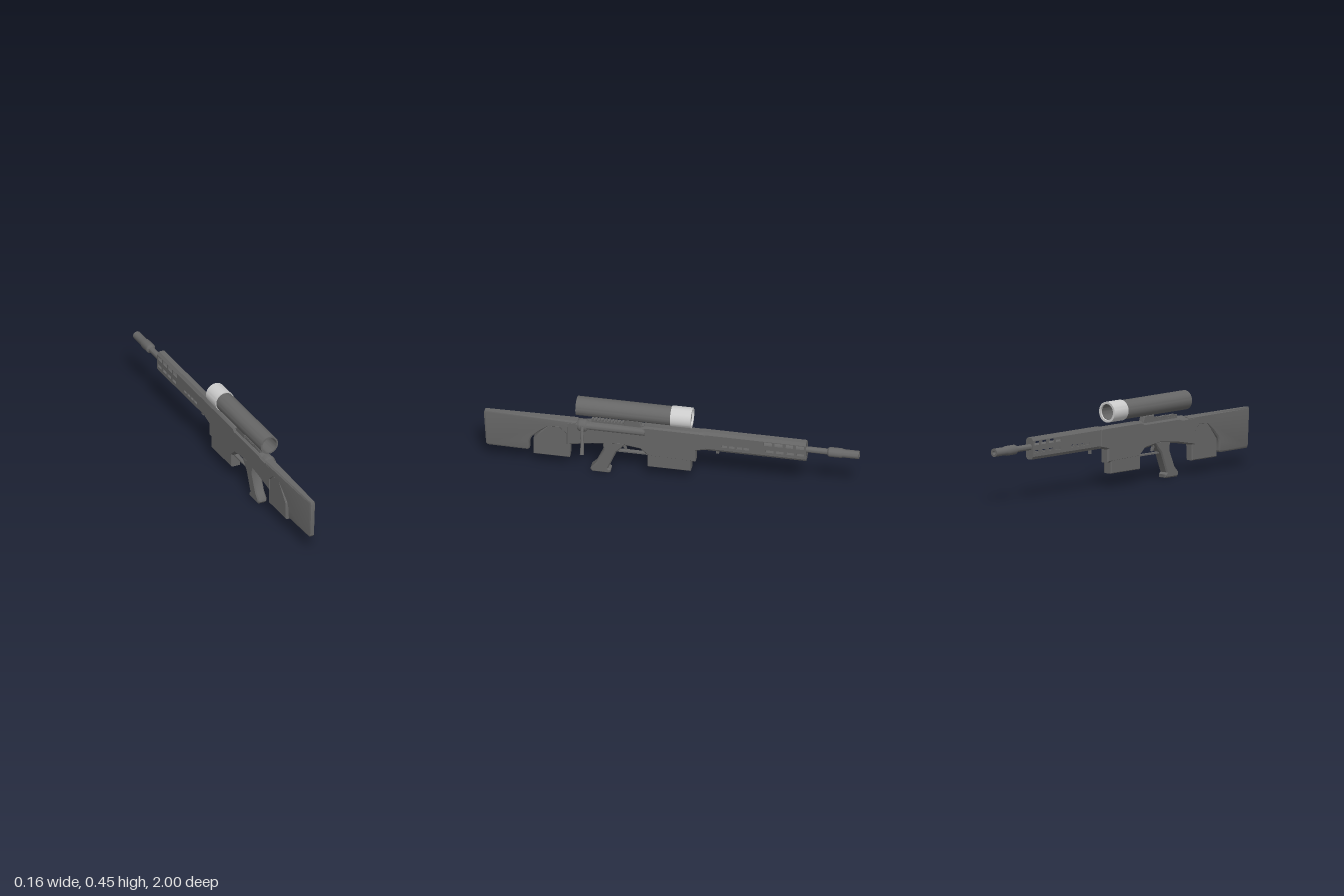
import * as THREE from 'three';
import { toCreasedNormals } from 'three/addons/utils/BufferGeometryUtils.js';

const CX = -0.022; // centre plane of the rifle
const dark = new THREE.MeshStandardMaterial({ color: 0x666666 });
const light = new THREE.MeshStandardMaterial({ color: 0xcccccc });

export function createModel() {
  const root = new THREE.Group();

  const add = (name, geo, mat = dark) => {
    const m = new THREE.Mesh(toCreasedNormals(geo, 0.6), mat);
    m.name = name;
    root.add(m);
    return m;
  };
  const poly = (pts) => new THREE.Shape(pts.map(([a, b]) => new THREE.Vector2(a, b)));

  // Side outline in (z, y), extruded across x with chamfered edges
  const slab = (name, pts, width, bevel = 0.006, x = CX, holes = []) => {
    const shape = poly(pts);
    shape.holes = holes.map(poly);
    const geo = new THREE.ExtrudeGeometry(shape, {
      depth: width - 2 * bevel, bevelEnabled: bevel > 0, bevelThickness: bevel,
      bevelSize: bevel, bevelOffset: -bevel, bevelSegments: 1, steps: 1,
    });
    geo.translate(0, 0, bevel - width / 2).rotateY(-Math.PI / 2).translate(x, 0, 0);
    return add(name, geo);
  };
  // Cross-section in (x, y) run along z
  const beam = (name, pts, z0, z1) => {
    const geo = new THREE.ExtrudeGeometry(poly(pts), { depth: z1 - z0, bevelEnabled: false });
    return add(name, geo.translate(CX, 0, z0));
  };
  // Turned part along z from [radius, z] points in order of rising z outside
  const turned = (name, pts, y, x = CX, mat = dark, seg = 32) => {
    const geo = new THREE.LatheGeometry(pts.map(([r, z]) => new THREE.Vector2(r, z)), seg);
    return add(name, geo.rotateX(Math.PI / 2).translate(x, y, 0), mat);
  };
  const pipe = (name, ri, ro, z0, z1, y, x, mat, seg) =>
    turned(name, [[ri, z0], [ro, z0], [ro, z1], [ri, z1], [ri, z0]], y, x, mat, seg);
  const box = (name, w, h, d, x, y, z) =>
    add(name, new THREE.BoxGeometry(w, h, d).translate(x, y, z));

  // Stock with curved hook, narrowing towards the butt
  const stock = slab('stock', [
    [0.5, 0.305], [0.995, 0.305], [1, 0.29], [0.988, 0.1], [0.98, 0.09], [0.765, 0.09],
    [0.755, 0.1], [0.755, 0.145], [0.742, 0.175], [0.7, 0.215], [0.655, 0.25],
    [0.6, 0.255], [0.54, 0.2], [0.5, 0.2],
  ], 0.055, 0.008);
  const p = stock.geometry.attributes.position;
  for (let i = 0; i < p.count; i++) {
    const t = Math.max(0, (p.getZ(i) - 0.5) / 0.5);
    p.setX(i, CX + (p.getX(i) - CX) * (1 - 0.45 * t));
  }
  stock.geometry = toCreasedNormals(stock.geometry, 0.6);
  slab('stockBlock', [
    [0.735, 0.07], [0.735, 0.165], [0.7, 0.21], [0.655, 0.262], [0.53, 0.262], [0.54, 0.07],
  ], 0.045, 0.005);

  // Receiver
  slab('receiver', [
    [0.56, 0.3], [0.46, 0.3], [0.43, 0.308], [0.16, 0.308], [0.14, 0.32], [-0.17, 0.32],
    [-0.19, 0.31], [-0.19, 0.215], [-0.13, 0.2], [-0.13, 0.13], [-0.105, 0.13],
    [0.12, 0.135], [0.165, 0.175], [0.24, 0.185], [0.28, 0.19], [0.42, 0.175], [0.56, 0.15],
  ], 0.055, 0.009);
  slab('magazine', [[0.125, 0.07], [0.125, 0.17], [-0.105, 0.17], [-0.105, 0.07]], 0.053, 0.004);

  // Grip, trigger and guard
  slab('grip', [
    [0.365, 0.2], [0.24, 0.2], [0.265, 0.165], [0.29, 0.14], [0.335, 0.03], [0.322, 0.02],
    [0.324, 0.004], [0.335, 0], [0.42, 0], [0.43, 0.012], [0.428, 0.025], [0.4, 0.055], [0.36, 0.145],
  ], 0.053, 0.007);
  box('guardBottom', 0.022, 0.008, 0.18, CX, 0.138, 0.2);
  slab('trigger', [
    [0.27, 0.2], [0.235, 0.2], [0.245, 0.172], [0.238, 0.15], [0.248, 0.15], [0.26, 0.17],
  ], 0.012, 0);

  // Bolt and handle on the left side
  pipe('bolt', 0.001, 0.021, 0.14, 0.46, 0.283, -0.006, dark, 20);
  turned('boltCollar', [
    [0, 0.445], [0.026, 0.445], [0.034, 0.455], [0.034, 0.488], [0.026, 0.5], [0, 0.5],
  ], 0.279, -0.014, dark, 24);
  const path = [[0.012, 0.285, 0.47], [0.024, 0.265, 0.47], [0.04, 0.215, 0.465], [0.07, 0.147, 0.462]]
    .map((a) => new THREE.Vector3(...a));
  const radii = [0.011, 0.009, 0.008, 0.014];
  for (let i = 0; i < 3; i++) {
    const dir = path[i + 1].clone().sub(path[i]);
    const geo = new THREE.CylinderGeometry(Math.min(radii[i + 1], 0.011), radii[i], dir.length(), 12);
    geo.applyQuaternion(new THREE.Quaternion().setFromUnitVectors(
      new THREE.Vector3(0, 1, 0), dir.clone().normalize()));
    const mid = path[i].clone().lerp(path[i + 1], 0.5);
    add('boltHandle', geo.translate(mid.x, mid.y, mid.z));
  }

  // Toothed sight rail and scope mount
  box('sightRail', 0.03, 0.014, 0.28, CX, 0.311, 0.285);
  for (let i = 0; i < 10; i++) box('railTooth', 0.032, 0.011, 0.009, CX, 0.322, 0.42 - i * 0.018);
  slab('scopeMount', [[0.255, 0.305], [0.245, 0.345], [0.17, 0.345], [0.155, 0.305]], 0.034, 0.003);

  // Open scope tube with pale collar
  pipe('scopeTube', 0.042, 0.051, -0.1, 0.505, 0.394, CX, dark, 40);
  pipe('scopeCollar', 0.043, 0.055, -0.11, 0, 0.394, CX, light, 40);

  // Hollow slotted forend: two pierced sides, chamfered top and bottom, end plates
  const slots = [];
  const row = (z, n, pitch, len, y0, y1) => {
    for (let i = 0; i < n; i++) {
      const a = z - i * pitch;
      slots.push([[a, y0], [a, y1], [a - len, y1], [a - len, y0]]);
    }
  };
  row(-0.495, 4, 0.057, 0.043, 0.285, 0.306);
  row(-0.505, 4, 0.055, 0.041, 0.243, 0.258);
  row(-0.27, 4, 0.039, 0.03, 0.243, 0.257);
  for (const s of [-1, 1]) {
    slab('forendSide', [[-0.17, 0.225], [-0.17, 0.31], [-0.72, 0.31], [-0.72, 0.225]],
      0.007, 0, CX + s * 0.022, slots);
  }
  beam('forendTop', [[-0.0255, 0.309], [0.0255, 0.309], [0.014, 0.325], [-0.014, 0.325]], -0.72, -0.17);
  beam('forendBottom', [[-0.0255, 0.226], [-0.016, 0.21], [0.016, 0.21], [0.0255, 0.226]], -0.72, -0.17);
  box('forendEnd', 0.04, 0.088, 0.008, CX, 0.268, -0.714);
  box('forendStud', 0.012, 0.028, 0.016, CX, 0.202, -0.245);

  // Barrel with stepped, open muzzle
  turned('barrel', [
    [0.011, -1], [0.022, -1], [0.022, -0.915], [0.026, -0.905], [0.026, -0.84],
    [0.016, -0.83], [0.016, -0.17], [0, -0.17],
  ], 0.275, CX, dark, 20);
  turned('bore', [[0, -0.93], [0.011, -0.93], [0.011, -1]].reverse().map(([r, z]) => [r, z]), 0.275, CX, dark, 20)
    .material = new THREE.MeshStandardMaterial({ color: 0x666666, side: THREE.DoubleSide });

  return root;
}
